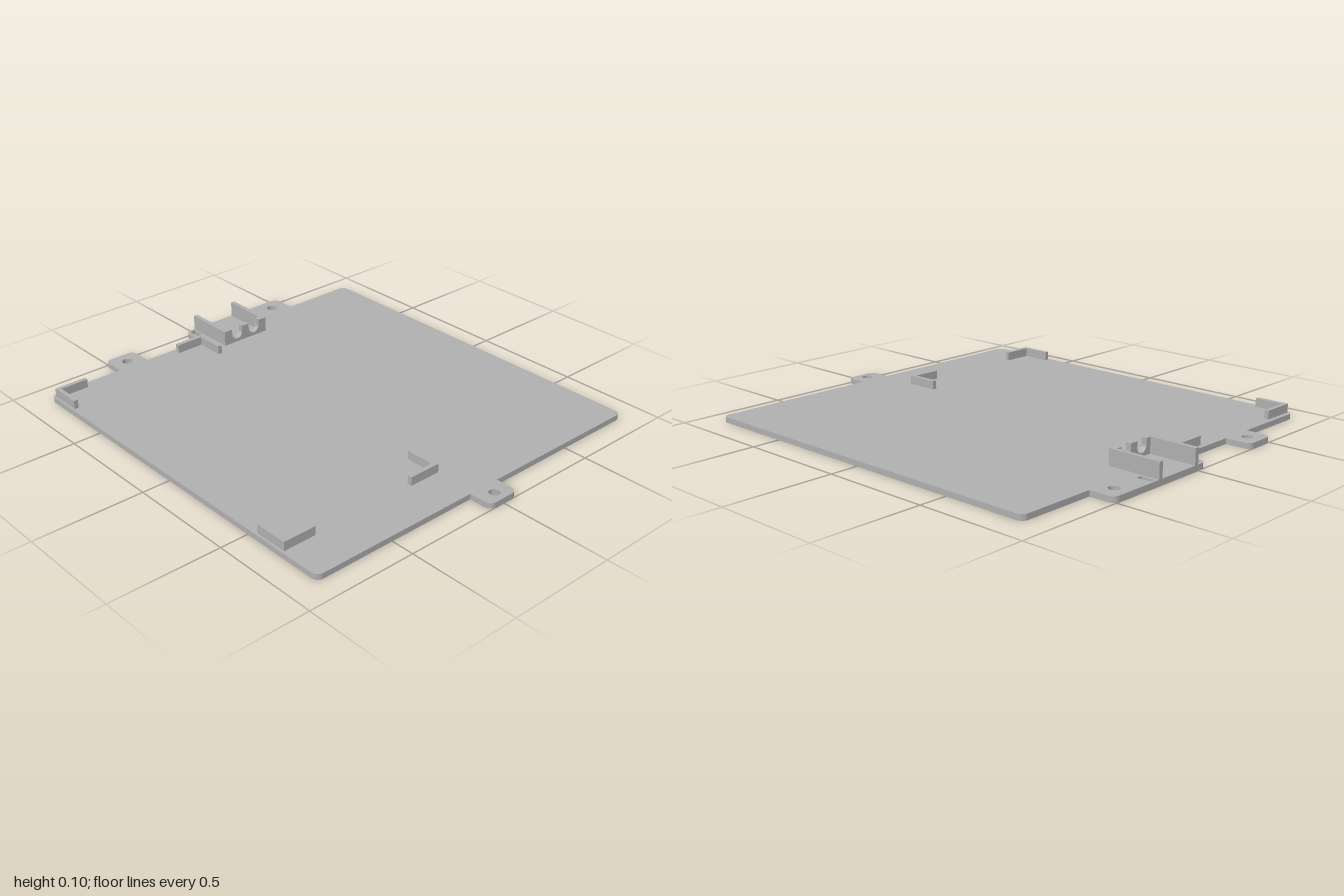
import * as THREE from 'three';

const THICK = 0.025;

// Closed shape from [x, y, radius] corners, each rounded by its radius
function roundedShape(corners) {
  const shape = new THREE.Shape();
  const n = corners.length;
  corners.forEach(([x, y, r], i) => {
    const c = new THREE.Vector2(x, y);
    const toward = (j, d) => {
      const o = new THREE.Vector2(corners[j][0], corners[j][1]);
      return o.sub(c).setLength(d).add(c);
    };
    const prev = (i + n - 1) % n, next = (i + 1) % n;
    const a = toward(prev, r), b = toward(next, r);
    if (i === 0) shape.moveTo(a.x, a.y); else shape.lineTo(a.x, a.y);
    if (r > 0) {
      const ca = toward(prev, r * 0.45), cb = toward(next, r * 0.45);
      shape.bezierCurveTo(ca.x, ca.y, cb.x, cb.y, b.x, b.y);
    }
  });
  shape.closePath();
  return shape;
}

export function createModel() {
  const model = new THREE.Group();
  model.name = 'mountingPlate';
  const grey = new THREE.MeshStandardMaterial({ color: 0xb0b0b0 });
  grey.name = 'grey plastic';

  const add = (name, geometry, parent = model) => {
    const mesh = new THREE.Mesh(geometry, grey);
    mesh.name = name;
    parent.add(mesh);
    return mesh;
  };
  // Box given by its lower and upper limits
  const block = (name, x0, x1, y0, y1, z0, z1, parent) =>
    add(name, new THREE.BoxGeometry(x1 - x0, y1 - y0, z1 - z0), parent)
      .position.set((x0 + x1) / 2, (y0 + y1) / 2, (z0 + z1) / 2);

  // Base plate with three screw tabs (shape y is -z)
  const R = 0.03, W = 0.873, F = -0.894, B = 0.883;
  const plate = roundedShape([
    [-W, F, R], [-0.077, F, 0], [-0.077, -1, R], [0.077, -1, R], [0.077, F, 0], [W, F, R],
    [W, B, R], [0.513, B, 0], [0.513, 1, R], [-0.053, 1, R], [-0.053, B, 0],
    [-0.36, B, 0], [-0.36, 1, R], [-0.513, 1, R], [-0.513, B, 0], [-W, B, R],
  ]);
  // Screw holes
  for (const [x, y] of [[0, -0.95], [-0.437, 0.935], [0.434, 0.935]]) {
    plate.holes.push(new THREE.Path().absarc(x, y, 0.024, 0, Math.PI * 2, true));
  }
  // Cable tie slots
  for (const x of [-0.035, 0.26]) {
    plate.holes.push(new THREE.Path([
      [x, 0.925], [x, 0.988], [x + 0.027, 0.988], [x + 0.027, 0.925],
    ].map(([a, b]) => new THREE.Vector2(a, b))));
  }
  const plateGeometry = new THREE.ExtrudeGeometry(plate, {
    depth: THICK, bevelEnabled: false, curveSegments: 10,
  });
  plateGeometry.rotateX(-Math.PI / 2);
  add('basePlate', plateGeometry);

  // Four L-shaped brackets: outer corner and inward directions
  const LEG = 0.152, T = 0.02, TOP = 0.065;
  for (const [x, z, sx, sz] of [
    [-0.862, -0.862, 1, 1], [-0.057, -0.862, -1, 1],
    [-0.862, 0.7, 1, -1], [-0.057, 0.7, -1, -1],
  ]) {
    const at = (u, v) => [x + sx * u, -(z + sz * v)];
    const outline = [[0, 0], [LEG, 0], [LEG, T], [T, T], [T, LEG], [0, LEG]]
      .map(([u, v]) => new THREE.Vector2(...at(u, v)));
    const bracket = new THREE.ExtrudeGeometry(new THREE.Shape(outline), {
      depth: TOP - THICK, bevelEnabled: false,
    });
    bracket.rotateX(-Math.PI / 2).translate(0, THICK, 0);
    add('cornerBracket', bracket);
  }

  // Cable holder: two side walls and a front wall with U notches
  const holder = new THREE.Group();
  holder.name = 'cableHolder';
  model.add(holder);
  const H = 0.096, zBack = -1, zFront = -0.757, zInner = -0.782;
  block('holderSideWall', 0, 0.02, THICK, H, zBack, zFront, holder);
  block('holderSideWall', 0.228, 0.248, THICK, H, zBack, zFront, holder);

  const wall = new THREE.Shape();
  wall.moveTo(0.02, THICK);
  wall.lineTo(0.228, THICK);
  wall.lineTo(0.228, H);
  for (const x of [0.174, 0.074]) {
    wall.lineTo(x + 0.03, H);
    wall.absarc(x, 0.07, 0.03, 0, -Math.PI, true);
    wall.lineTo(x - 0.03, H);
  }
  wall.lineTo(0.02, H);
  wall.closePath();
  const wallGeometry = new THREE.ExtrudeGeometry(wall, {
    depth: zFront - zInner, bevelEnabled: false, curveSegments: 16,
  });
  wallGeometry.translate(0, 0, zInner);
  add('holderNotchedWall', wallGeometry, holder);

  return model;
}
